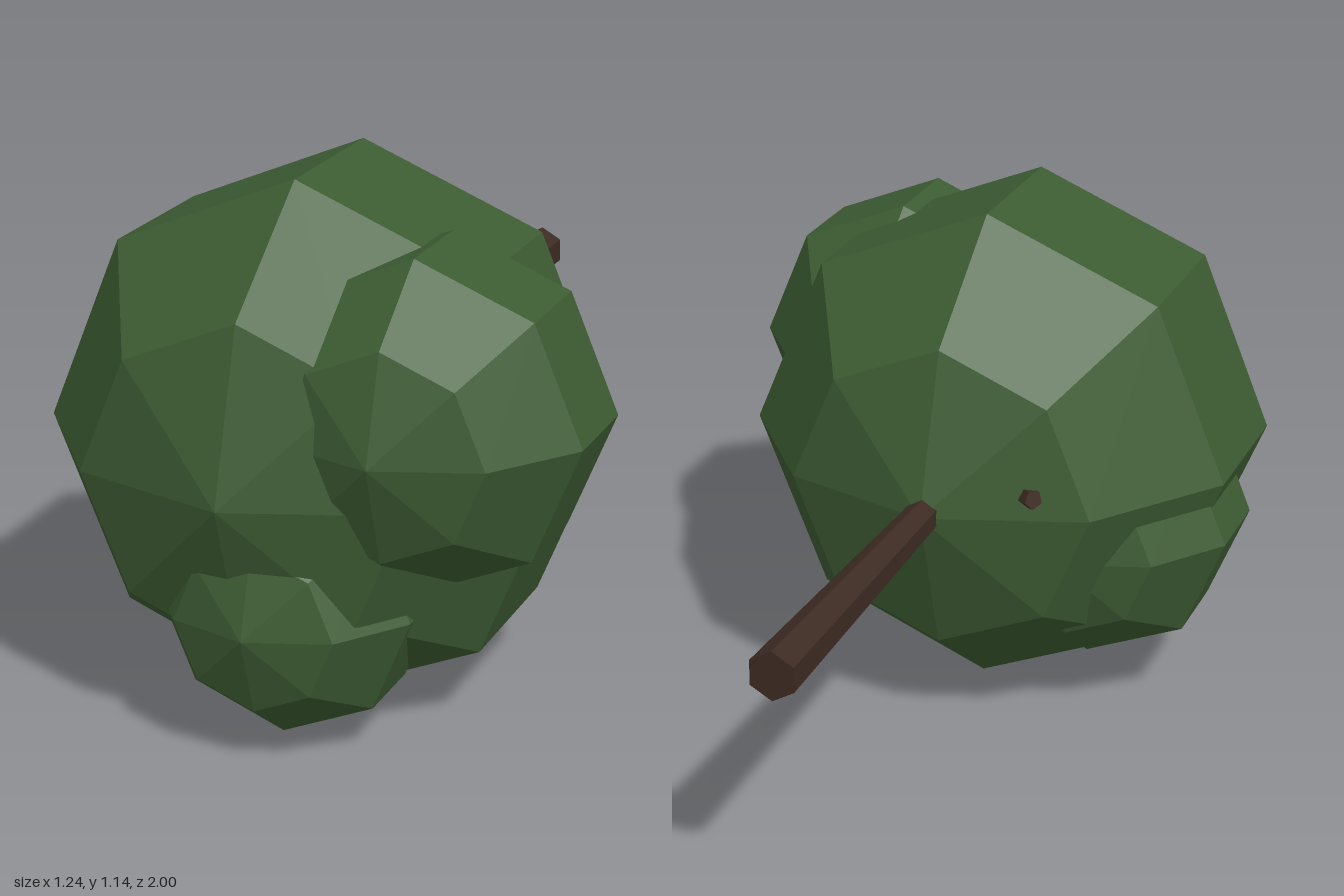
import * as THREE from 'three';

const leafMaterial = new THREE.MeshStandardMaterial({ color: 0x3d5c33, flatShading: true });
const barkMaterial = new THREE.MeshStandardMaterial({ color: 0x3d2b23, flatShading: true });

// Low-poly leaf ball with its poles along z
function leafBall(name, radius, x, y, z) {
  const geometry = new THREE.SphereGeometry(radius, 8, 5).rotateX(Math.PI / 2);
  const mesh = new THREE.Mesh(geometry, leafMaterial);
  mesh.name = name;
  mesh.position.set(x, y, z);
  return mesh;
}

// Tapered limb running from one point to another
function limb(name, from, to, startRadius, endRadius, sides) {
  const a = new THREE.Vector3(...from);
  const b = new THREE.Vector3(...to);
  const direction = b.clone().sub(a);
  const geometry = new THREE.CylinderGeometry(endRadius, startRadius, direction.length(), sides);
  const mesh = new THREE.Mesh(geometry, barkMaterial);
  mesh.name = name;
  mesh.position.copy(a).add(b).multiplyScalar(0.5);
  mesh.quaternion.setFromUnitVectors(new THREE.Vector3(0, 1, 0), direction.normalize());
  return mesh;
}

export function createModel() {
  const tree = new THREE.Group();
  tree.name = 'fallenTree';

  // Trunk lying along z, and a short branch whose tip pokes out of the crown
  tree.add(limb('trunk', [-0.04, 0.575, -1], [-0.04, 0.575, 0.2], 0.055, 0.031, 6));
  tree.add(limb('branch', [-0.04, 0.575, 0.1], [-0.28, 0.63, -0.14], 0.03, 0.022, 5));

  // Crown of overlapping leaf balls
  tree.add(leafBall('mainCrown', 0.6, -0.04, 0.574, 0.395));
  tree.add(leafBall('upperLeftFoliage', 0.372, 0.266, 0.69, 0.59));
  tree.add(leafBall('lowerFrontFoliage', 0.296, 0.006, 0.302, 0.69));
  tree.add(leafBall('lowerRightFoliage', 0.338, -0.3, 0.428, 0.308));

  return tree;
}
